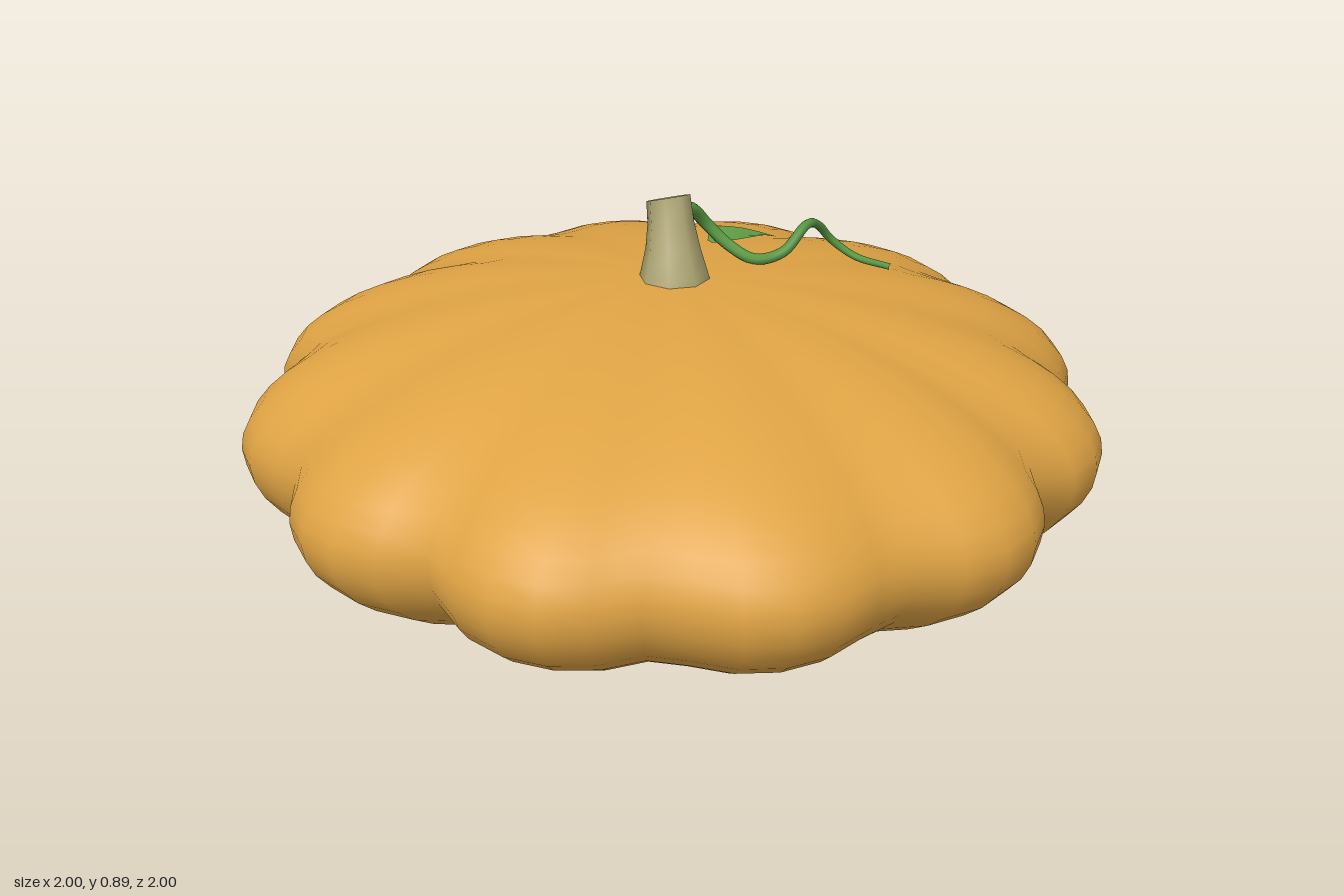
import * as THREE from 'three';
import { mergeVertices } from 'three/addons/utils/BufferGeometryUtils.js';

const V = (x, y, z) => new THREE.Vector3(x, y, z);

function paint(name, color, side = THREE.FrontSide) {
  const m = new THREE.MeshStandardMaterial({ color, side });
  m.name = name;
  return m;
}

// Weld seams so the normals run smoothly all round
function smooth(geo) {
  geo.deleteAttribute('uv');
  geo.deleteAttribute('normal');
  const g = mergeVertices(geo, 1e-5);
  g.computeVertexNormals();
  return g;
}

// Flattened body with twelve rounded ribs
function bodyGeometry() {
  const geo = new THREE.SphereGeometry(1, 64, 28);
  const p = geo.attributes.position;
  for (let i = 0; i < p.count; i++) {
    const x = p.getX(i), y = p.getY(i), z = p.getZ(i);
    const rib = Math.pow(Math.abs(Math.cos(6 * Math.atan2(z, x))), 0.85);
    const r = 0.907 + 0.093 * rib;
    p.setXYZ(i, x * r, 0.37 + y * (y > 0 ? 0.332 : 0.367), z * r);
  }
  return smooth(geo);
}

// Eight-sided rings lofted along the leaning stem: [x, y, z, radius, tilt]
const RINGS = [
  [0.004, 0.67, 0.008, 0.09, 0],
  [0.004, 0.715, 0.003, 0.078, 0.02],
  [0.004, 0.765, -0.012, 0.064, 0.1],
  [0.004, 0.82, -0.034, 0.054, 0.2],
  [0.003, 0.872, -0.054, 0.051, 0.32],
];
const ringPoint = ([x, y, z, r, tilt], k) => {
  const a = ((k + 0.5) / 8) * Math.PI * 2;
  const dx = r * Math.cos(a), dz = r * Math.sin(a);
  return V(x + dx, y + dz * tilt + dx * tilt * 0.3, z + dz);
};

function fromPoints(points, index) {
  const g = new THREE.BufferGeometry().setFromPoints(points);
  g.setIndex(index);
  g.computeVertexNormals();
  return g;
}

function stemGeometry() {
  const pts = [], idx = [];
  RINGS.forEach((ring) => { for (let k = 0; k < 8; k++) pts.push(ringPoint(ring, k)); });
  for (let j = 0; j < RINGS.length - 1; j++) for (let k = 0; k < 8; k++) {
    const a = j * 8 + k, b = j * 8 + (k + 1) % 8;
    idx.push(a, a + 8, b, b, a + 8, b + 8);
  }
  return fromPoints(pts, idx);
}

function stemCapGeometry() {
  const top = RINGS[RINGS.length - 1];
  const pts = [V(top[0], top[1], top[2])], idx = [];
  for (let k = 0; k < 8; k++) {
    pts.push(ringPoint(top, k));
    idx.push(0, 1 + (k + 1) % 8, 1 + k);
  }
  return fromPoints(pts, idx);
}

// Curling vine that thins toward its tip
function tendrilGeometry() {
  const curve = new THREE.CatmullRomCurve3([
    V(0.03, 0.83, -0.07), V(0.075, 0.82, -0.115), V(0.115, 0.775, -0.138),
    V(0.165, 0.725, -0.11), V(0.215, 0.703, -0.06), V(0.275, 0.725, -0.032),
    V(0.34, 0.778, -0.06), V(0.39, 0.755, -0.115), V(0.43, 0.71, -0.138),
    V(0.485, 0.67, -0.11), V(0.55, 0.662, -0.04),
  ]);
  const seg = 60, sides = 8;
  const geo = new THREE.TubeGeometry(curve, seg, 0.017, sides);
  const p = geo.attributes.position, v = V(0, 0, 0);
  for (let i = 0; i < p.count; i++) {
    const t = Math.floor(i / (sides + 1)) / seg;
    const c = curve.getPointAt(t);
    v.fromBufferAttribute(p, i).sub(c).multiplyScalar(1 - 0.55 * t).add(c);
    p.setXYZ(i, v.x, v.y, v.z);
  }
  return smooth(geo);
}

// Pointed leaf, folded slightly along its midrib
function leafGeometry() {
  const base = V(0.125, 0.73, -0.125), tip = V(0.325, 0.688, -0.247);
  const across = V(0.52, 0, 0.854);
  const widths = [0.012, 0.045, 0.056, 0.05, 0.038, 0.02, 0];
  const pts = [], idx = [];
  widths.forEach((w, j) => {
    const t = j / (widths.length - 1);
    const mid = base.clone().lerp(tip, t);
    mid.y += 0.012 * Math.sin(Math.PI * t);
    for (const s of [-1, 0, 1]) {
      const q = mid.clone().addScaledVector(across, s * w);
      q.y += Math.abs(s) * w * 0.2;
      pts.push(q);
    }
    if (j === 0) return;
    for (const k of [0, 1]) {
      const a = (j - 1) * 3 + k;
      idx.push(a, a + 1, a + 3, a + 1, a + 4, a + 3);
    }
  });
  return fromPoints(pts, idx);
}

export function createModel() {
  const group = new THREE.Group();
  group.name = 'pumpkin';
  const orange = paint('pumpkin orange', 0xdfa344);
  const khaki = paint('stem khaki', 0xaaa270);
  const vine = paint('vine green', 0x569540);
  const leafGreen = paint('leaf green', 0x62a048, THREE.DoubleSide);

  const add = (name, geo, mat) => {
    const mesh = new THREE.Mesh(geo, mat);
    mesh.name = name;
    group.add(mesh);
  };
  add('body', bodyGeometry(), orange);
  add('stem', stemGeometry(), khaki);
  add('stemCap', stemCapGeometry(), khaki);
  add('tendril', tendrilGeometry(), vine);
  add('leaf', leafGeometry(), leafGreen);
  return group;
}
